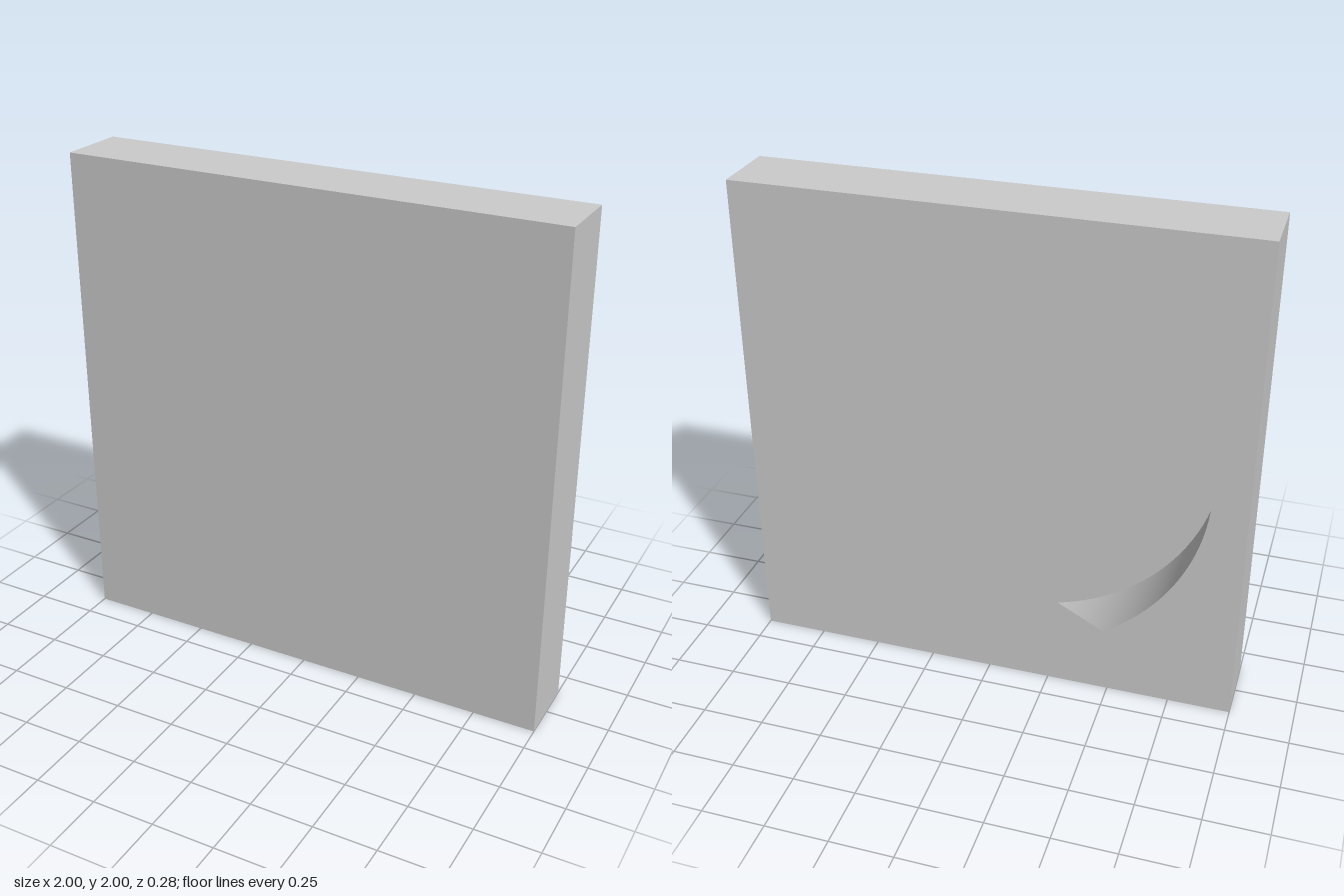
import * as THREE from 'three';

const SIZE = 2, DEPTH = 0.28, RADIUS = 0.86;

export function createModel() {
  const group = new THREE.Group();
  const material = new THREE.MeshStandardMaterial({ color: 0xcccccc, side: THREE.DoubleSide });
  const add = (name, geometry) => {
    const mesh = new THREE.Mesh(geometry, material);
    mesh.name = name;
    group.add(mesh);
    return mesh;
  };

  // Square shell: a box without its back (-z) face, which is the last in the index
  const shell = new THREE.BoxGeometry(SIZE, SIZE, DEPTH);
  shell.setIndex(Array.from(shell.index.array).slice(0, 30));
  shell.clearGroups();
  add('slabShell', shell.translate(0, SIZE / 2, 0));

  // Back face with a wedge opening bounded by part of the round cavity
  const face = new THREE.Shape([
    new THREE.Vector2(-1, 0), new THREE.Vector2(1, 0),
    new THREE.Vector2(1, 2), new THREE.Vector2(-1, 2),
  ]);
  const opening = new THREE.Path();
  opening.moveTo(0, 0.535);
  opening.lineTo(RADIUS, 1);
  opening.absarc(0, 1, RADIUS, 0, THREE.MathUtils.degToRad(-56.7), true);
  opening.closePath();
  face.holes.push(opening);
  const back = new THREE.ShapeGeometry(face, 32);
  add('backFace', back.rotateY(Math.PI).translate(0, 0, -DEPTH / 2));

  // Round cavity wall seen through the opening
  const wall = new THREE.CylinderGeometry(RADIUS, RADIUS, DEPTH, 128, 1, true);
  add('cavityWall', wall.rotateX(Math.PI / 2).translate(0, 1, 0));

  return group;
}
